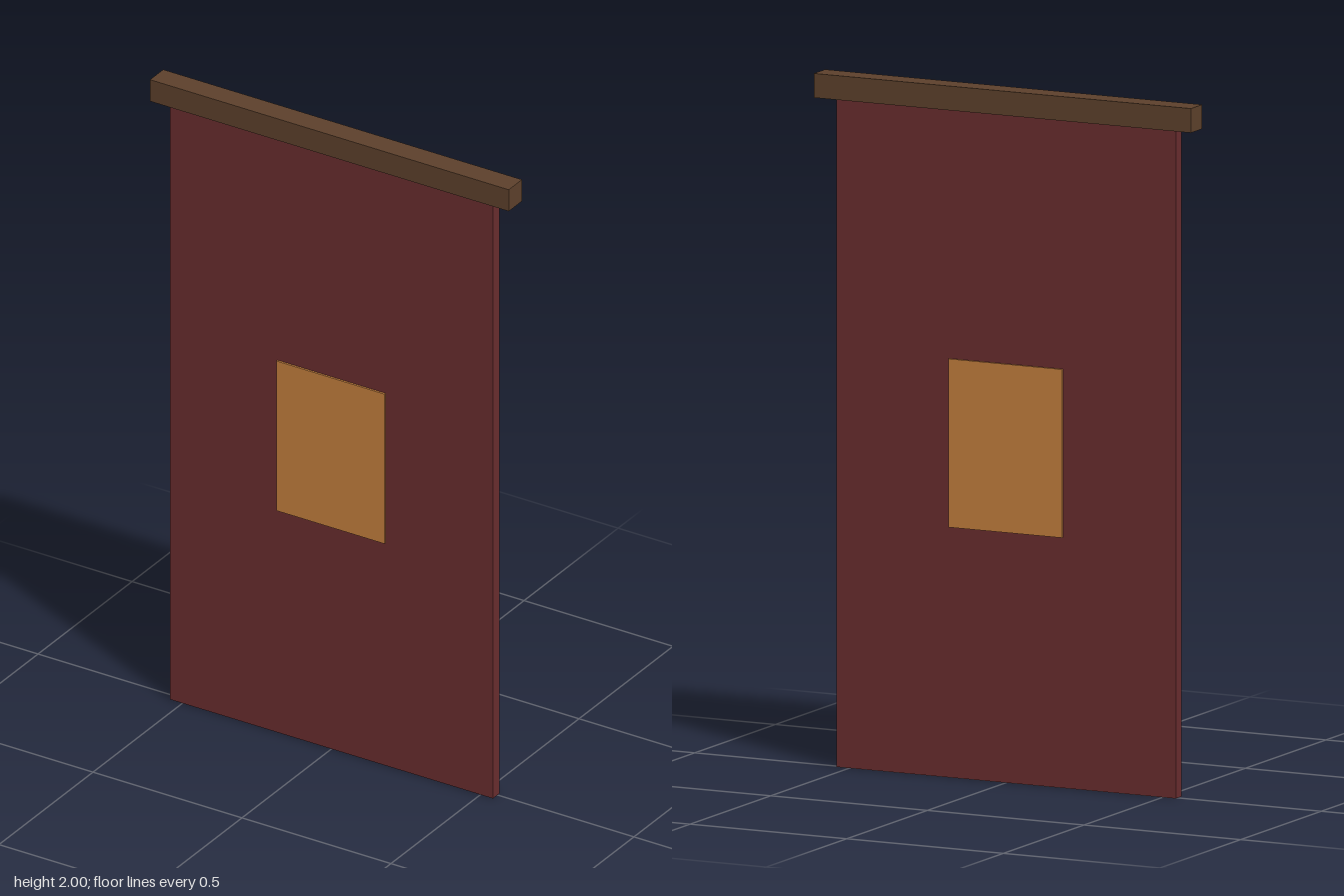
import * as THREE from 'three';

export function createModel() {
  const group = new THREE.Group();
  group.name = 'wallBanner';

  const material = (name, color) => {
    const m = new THREE.MeshStandardMaterial({ color });
    m.name = name;
    return m;
  };
  const wood = material('dark wood', 0x5c402b);
  const cloth = material('maroon cloth', 0x682c2e);
  const gold = material('ochre', 0xc27e3d);

  // Box given by its full size and centre
  const box = (name, mat, [w, h, d], [x, y, z]) => {
    const mesh = new THREE.Mesh(new THREE.BoxGeometry(w, h, d), mat);
    mesh.name = name;
    mesh.position.set(x, y, z);
    group.add(mesh);
  };

  // Hanging bar across the top
  box('hangingBar', wood, [1.204, 0.07, 0.07], [0, 1.965, 0]);

  // Cloth panel, hung slightly forward of the bar's centre
  const clothZ = 0.006;
  const clothDepth = 0.036;
  box('clothPanel', cloth, [1.084, 1.93, clothDepth], [0, 0.965, clothZ]);

  // Thin patch on the front and the back
  const patchDepth = 0.006;
  for (const [name, side] of [['frontPatch', 1], ['backPatch', -1]]) {
    const z = clothZ + side * (clothDepth + patchDepth) / 2;
    box(name, gold, [0.362, 0.486, patchDepth], [0, 0.966, z]);
  }

  return group;
}
